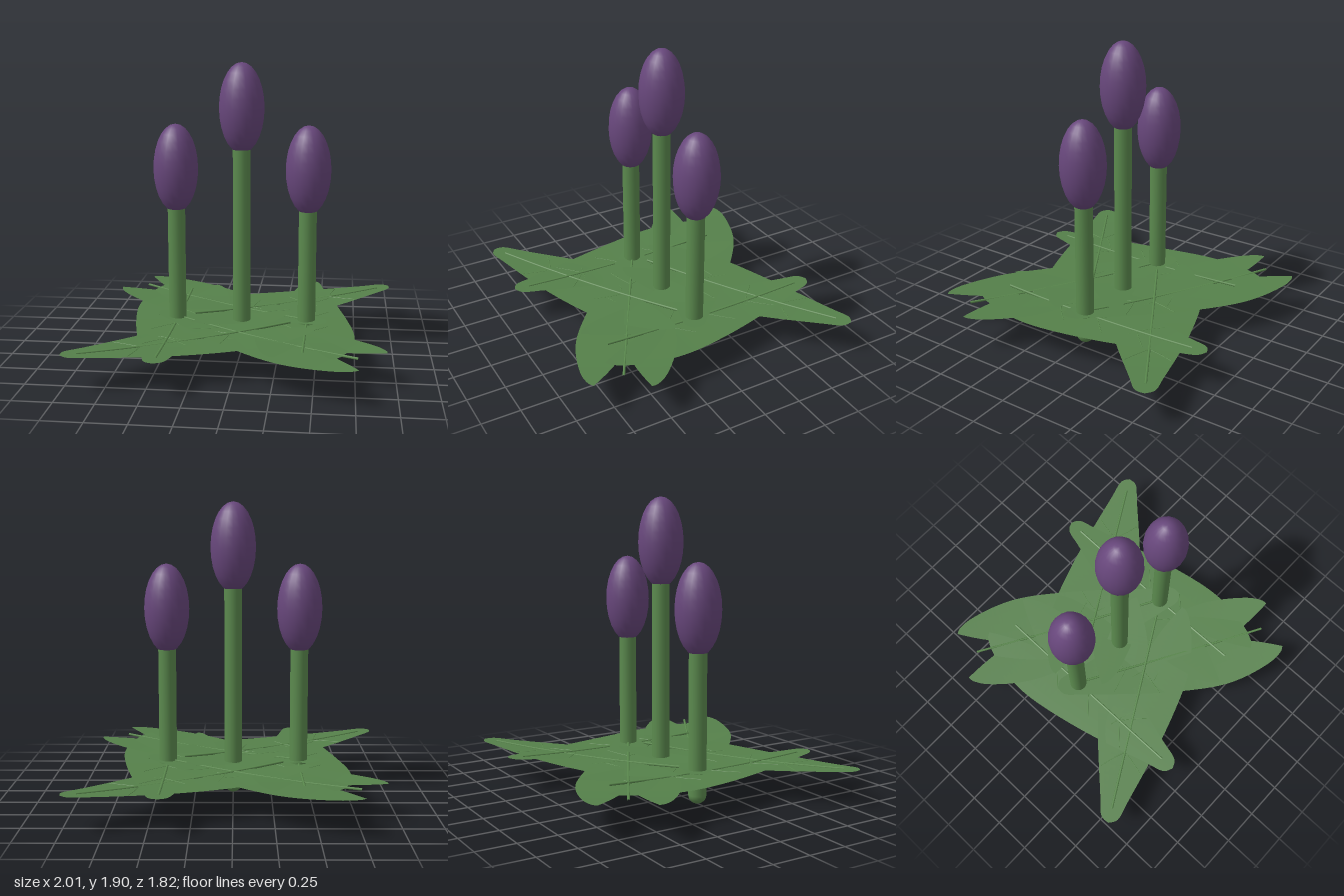
import * as THREE from 'three';

const LEAF_LENGTH = 1.63;
const NOTCH = 1.23;

// Leaf outline: half-width across, distance back from the tip
const outline = new THREE.SplineCurve([
  [0, 0], [0.06, 0.04], [0.1, 0.18], [0.2, 0.53], [0.27, 0.83], [0.312, 1.1],
  [0.305, 1.3], [0.26, 1.5], [0.21, 1.6], [0.17, LEAF_LENGTH],
].map(([w, u]) => new THREE.Vector2(w, u)));

// Gentle sag along the leaf, and the inner edge of the notch between its lobes
const sag = (u) => 0.198 + 0.026 * ((u - 0.82) / 0.82) ** 2;
const inner = (u) => (u <= NOTCH ? 0 : 0.17 * ((u - NOTCH) / (LEAF_LENGTH - NOTCH)) ** 1.4);

function halfLeafGeometry() {
  const geo = new THREE.PlaneGeometry(1, 1, 4, 48);
  const pos = geo.attributes.position;
  for (let i = 0; i < pos.count; i++) {
    const p = outline.getPoint(0.5 - pos.getY(i));
    const u = Math.min(p.y, LEAF_LENGTH);
    const x = THREE.MathUtils.lerp(inner(u), Math.max(p.x, 0), pos.getX(i) + 0.5);
    pos.setXYZ(i, x, sag(u), -u);
  }
  // Reverse the winding so the upper side faces up
  const idx = geo.index;
  for (let i = 0; i < idx.count; i += 3) {
    const a = idx.getX(i);
    idx.setX(i, idx.getX(i + 1));
    idx.setX(i + 1, a);
  }
  geo.computeVertexNormals();
  return geo;
}

function ribGeometry(points, radius) {
  const curve = new THREE.CatmullRomCurve3(points.map(([x, u, y]) => new THREE.Vector3(x, y, -u)));
  return new THREE.TubeGeometry(curve, 16, radius, 6);
}

export function createModel() {
  const model = new THREE.Group();
  const green = new THREE.MeshStandardMaterial({ color: 0x5b8a4e });
  const leafGreen = new THREE.MeshStandardMaterial({ color: 0x55804a, side: THREE.DoubleSide });
  const purple = new THREE.MeshStandardMaterial({ color: 0x68477c });

  const add = (parent, name, geo, mat) => {
    const mesh = new THREE.Mesh(geo, mat);
    mesh.name = name;
    parent.add(mesh);
    return mesh;
  };

  // Three stems with flower buds, the middle one taller
  const stemRadius = 0.058;
  const budGeo = new THREE.SphereGeometry(1, 20, 14).scale(0.146, 0.29, 0.146);
  [[-0.43, 1.22], [0, 1.615], [0.43, 1.22]].forEach(([x, budY]) => {
    const flower = new THREE.Group();
    flower.name = 'flower';
    flower.position.x = x;
    const stemGeo = new THREE.CapsuleGeometry(stemRadius, budY - 2 * stemRadius, 6, 16);
    add(flower, 'stem', stemGeo, green).position.y = budY / 2;
    add(flower, 'bud', budGeo, purple).position.y = budY;
    model.add(flower);
  });

  // Arrow-shaped leaves: two trios, the second turned half way round
  const halfGeo = halfLeafGeometry();
  const midribGeo = ribGeometry(
    [0.1, 0.4, 0.7, 1, 1.25, 1.53].map((u) => [0, u, sag(u) + 0.001]), 0.008);
  const sideRibs = [0.5, 0.8, 1.1].map((u) => ribGeometry(
    [[0, u, sag(u)], [0.07, u - 0.06, sag(u - 0.06)], [0.14, u - 0.13, sag(u - 0.13)]], 0.003));

  const placements = [[-0.43, 0.9, 0], [1.0, -0.83, 120], [-0.56, -0.075, 240]];
  [1, -1].forEach((turn, t) => placements.forEach(([x, z, degrees], i) => {
    const leaf = new THREE.Group();
    leaf.name = 'leaf';
    leaf.position.set(x * turn, (i * 2 + t) * 0.0006, z * turn);
    leaf.rotation.y = THREE.MathUtils.degToRad(degrees + (turn < 0 ? 180 : 0));
    [1, -1].forEach((side) => {
      add(leaf, 'leafHalf', halfGeo, leafGreen).scale.x = side;
      sideRibs.forEach((geo) => { add(leaf, 'sideVein', geo, green).scale.x = side; });
    });
    add(leaf, 'midrib', midribGeo, green);
    model.add(leaf);
  }));

  return model;
}
